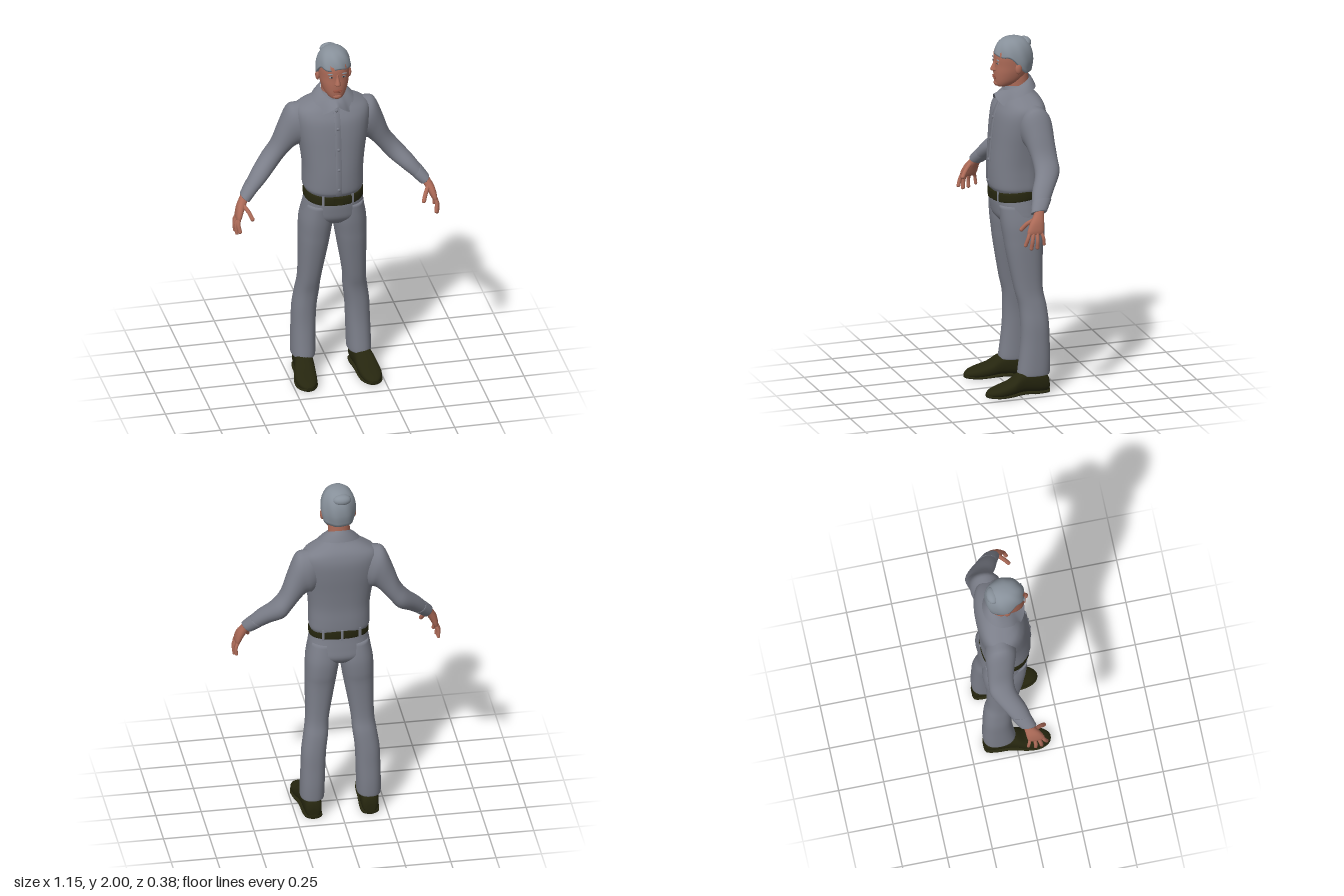
import * as THREE from 'three';
import { mergeGeometries } from 'three/addons/utils/BufferGeometryUtils.js';

const { sin, cos, abs, sign, pow, PI, exp, min, max } = Math;
const V = (x, y, z) => new THREE.Vector3(x, y, z);

// Catmull-Rom resampling of rows of numbers
function smooth(rows, steps = 4) {
  const out = [];
  for (let i = 0; i < rows.length - 1; i++) {
    const [a, b, c, d] = [rows[max(i - 1, 0)], rows[i], rows[i + 1], rows[min(i + 2, rows.length - 1)]];
    for (let s = 0; s < steps; s++) {
      const t = s / steps;
      out.push(b.map((v, k) => v + 0.5 * t * (c[k] - a[k] + t * (2 * a[k] - 5 * v + 4 * c[k] - d[k] + t * (3 * (v - c[k]) + d[k] - a[k])))));
    }
  }
  out.push(rows[rows.length - 1]);
  return out;
}

// Skin closed rings of points; optional end caps; outward winding is ensured
function loft(rings, caps = true) {
  const n = rings[0].length, pos = [], idx = [];
  rings.forEach(r => r.forEach(p => pos.push(p.x, p.y, p.z)));
  for (let i = 0; i < rings.length - 1; i++) for (let j = 0; j < n; j++) {
    const a = i * n + j, b = i * n + (j + 1) % n;
    idx.push(a, b, a + n, b, b + n, a + n);
  }
  if (caps) [0, rings.length - 1].forEach(i => {
    const m = rings[i].reduce((s, p) => s.add(p), V(0, 0, 0)).divideScalar(n), k = pos.length / 3;
    pos.push(m.x, m.y, m.z);
    for (let j = 0; j < n; j++) {
      const a = i * n + j, b = i * n + (j + 1) % n;
      i ? idx.push(a, b, k) : idx.push(b, a, k);
    }
  });
  const P = i => V(pos[3 * i], pos[3 * i + 1], pos[3 * i + 2]);
  let vol = 0;
  for (let i = 0; i < idx.length; i += 3) vol += P(idx[i]).dot(P(idx[i + 1]).cross(P(idx[i + 2])));
  if (vol < 0) idx.reverse();
  const g = new THREE.BufferGeometry();
  g.setAttribute('position', new THREE.Float32BufferAttribute(pos, 3));
  g.setIndex(idx);
  g.computeVertexNormals();
  return g;
}

// Superellipse ring built from a function of (cos, sin)
const ring = (f, n = 2, count = 32) => Array.from({ length: count }, (_, j) => {
  const t = j / count * 2 * PI, e = v => sign(v) * pow(abs(v), 2 / n);
  return f(e(cos(t)), e(sin(t)));
});

// Upright body part; rows are [y, xLeft, xRight, zFront, zBack]
const body = (rows, n = 2.2, bias = 0.45, tilt = 0) => loft(smooth(rows).map(([y, x0, x1, zf, zb]) => {
  const zc = zb + (zf - zb) * bias;
  return ring((c, s) => {
    const z = zc + s * (s > 0 ? zf - zc : zc - zb);
    return V((x0 + x1) / 2 + c * (x1 - x0) / 2, y - tilt * z, z);
  }, n);
}));
const sym = rows => rows.map(([y, rx, zf, zb]) => [y, -rx, rx, zf, zb]);

// Front surface depth of a symmetric part at (x, y)
function frontZ(rows, x, y, n, bias) {
  const i = max(1, rows.findIndex(r => r[0] >= y)), a = rows[i - 1], b = rows[i];
  const [, rx, zf, zb] = a.map((v, k) => v + (b[k] - v) * (y - a[0]) / (b[0] - a[0]));
  const zc = zb + (zf - zb) * bias;
  return zc + (zf - zc) * pow(max(0, 1 - pow(abs(x) / rx, n)), 1 / n);
}

function mirrored(g) {
  const m = g.clone().scale(-1, 1, 1), a = m.index.array;
  for (let i = 0; i < a.length; i += 3) [a[i], a[i + 1]] = [a[i + 1], a[i]];
  m.computeVertexNormals();
  return m;
}

const TORSO = [[1.13, .15, .09, -.15], [1.15, .16, .103, -.158], [1.17, .166, .11, -.162], [1.22, .166, .112, -.163],
  [1.3, .168, .11, -.162], [1.4, .181, .102, -.171], [1.5, .2, .092, -.183], [1.58, .21, .078, -.187],
  [1.63, .2, .055, -.178], [1.665, .15, .035, -.16], [1.7, .085, .02, -.125], [1.73, .06, .005, -.11]];
const HEAD = [[1.725, .024, .062, .01], [1.735, .042, .074, -.02], [1.765, .063, .08, -.07], [1.81, .078, .082, -.108],
  [1.85, .084, .08, -.126], [1.9, .087, .08, -.128], [1.94, .08, .068, -.118], [1.975, .055, .04, -.09]];
const WAIST = [[1.16, .152, .09, -.152], [1.1, .16, .096, -.157], [1.04, .17, .09, -.165], [.99, .172, .078, -.168],
  [.95, .13, .04, -.14], [.935, .08, .01, -.11]];
const LEG = [[1.07, .01, .16, .08, -.15], [.97, .0, .182, .073, -.168], [.88, .012, .187, .06, -.166], [.8, .025, .188, .048, -.156],
  [.6, .06, .188, .01, -.15], [.5, .068, .2, -.014, -.167], [.4, .08, .214, -.021, -.177], [.3, .085, .218, -.02, -.18],
  [.2, .088, .221, -.01, -.183], [.12, .09, .222, 0, -.18], [.108, .094, .218, -.005, -.176]];
// Sleeve rows: [xOuter, yOuter, xInner, yInner, zCentre, zRadius]
const SLEEVE = [[.11, 1.655, .1, 1.45, -.085, .06], [.19, 1.648, .15, 1.405, -.088, .085], [.243, 1.63, .185, 1.4, -.092, .085],
  [.29, 1.52, .215, 1.38, -.1, .076], [.328, 1.415, .265, 1.323, -.108, .07], [.378, 1.345, .31, 1.265, -.103, .07],
  [.45, 1.265, .375, 1.213, -.055, .062], [.505, 1.19, .45, 1.152, -.015, .046], [.52, 1.17, .47, 1.133, -.003, .042]];
const CUFF = [[.484, 1.222, .422, 1.178, -.034, .05], [.489, 1.217, .426, 1.172, -.03, .054],
  [.523, 1.172, .471, 1.13, -.002, .046], [.523, 1.165, .476, 1.128, .001, .042]];
// Shoe rows: [z, xCentre, halfWidth, yBottom, yTop]
const SHOE = [[-.177, .156, .022, .012, .06], [-.165, .156, .042, .006, .1], [-.12, .158, .05, .004, .128], [-.05, .162, .052, .012, .135],
  [0, .168, .055, .014, .122], [.05, .175, .06, .01, .088], [.11, .18, .059, .007, .068], [.155, .181, .046, .01, .054],
  [.18, .181, .027, .014, .04], [.189, .181, .008, .02, .03]];

export function createModel() {
  const model = new THREE.Group();
  const mat = (name, color, side = THREE.FrontSide) => {
    const m = new THREE.MeshStandardMaterial({ color, side });
    m.name = name;
    return m;
  };
  const cloth = mat('grey cloth', 0x7b7e89, THREE.DoubleSide), skin = mat('skin', 0xad6b58), hairMat = mat('grey hair', 0x87909a),
    leather = mat('dark leather', 0x26260f), lipMat = mat('lips', 0x94503f), eyeMat = mat('eyes', 0x8d9298), irisMat = mat('iris', 0x2b3238);
  const add = (name, g, m) => {
    const mesh = new THREE.Mesh(g, m);
    mesh.name = name;
    model.add(mesh);
    return mesh;
  };
  const pair = (name, g, m) => { add('left' + name, g, m); add('right' + name, mirrored(g), m); };
  const ball = (x, y, z, a, b, c) => new THREE.SphereGeometry(1, 20, 14).scale(a, b, c).translate(x, y, z);

  // Shirt
  add('shirt', body(sym(TORSO), 2.4, .38), cloth);
  const sleeve = rows => loft(smooth(rows).map(([xo, yo, xi, yi, z, r]) =>
    ring((c, s) => V((xo + xi) / 2 + c * (xo - xi) / 2, (yo + yi) / 2 + c * (yo - yi) / 2, z + s * r), 2.1, 28)));
  pair('Sleeve', sleeve(SLEEVE), cloth);
  pair('Cuff', sleeve(CUFF), cloth);
  const strip = [];
  for (let y = 1.15; y <= 1.69; y += .03) {
    const z = frontZ(TORSO, 0, y, 2.4, .38);
    strip.push([V(-.016, y, z - .01), V(-.016, y, z + .004), V(.016, y, z + .004), V(.016, y, z - .01)]);
  }
  add('buttonPlacket', loft(strip), cloth);
  for (const y of [1.19, 1.31, 1.43, 1.55, 1.645])
    add('button', ball(0, y, frontZ(TORSO, 0, y, 2.4, .38) + .005, .009, .009, .005), cloth);

  // Folded collar with two front points
  const collarRing = v => Array.from({ length: 72 }, (_, j) => {
    const a = (j + .5) / 72 * 2 * PI - PI, q = abs(a), top = 1.775 - .0375 * (1 + cos(a));
    const drop = q < .7 ? .015 + .065 * q / .7 : .045 + .035 * exp(-pow((q - .7) / .35, 2)) + .012 * max(0, -cos(a));
    const k = pow(v, .8), rx = .064 + .05 * k, rz = cos(a) > 0 ? .08 + .052 * k : .07 + .03 * k;
    return V(rx * sin(a), top - drop * v, -.05 + rz * cos(a));
  });
  add('collar', loft([0, .25, .5, .75, 1].map(collarRing), false), cloth);

  // Trousers
  add('trouserSeat', body(sym(WAIST), 2.3), cloth);
  pair('TrouserLeg', body(LEG, 2.3), cloth);

  // Belt, buckle and loops
  const belt = [[1.1, .152, .09, -.152], [1.1, .164, .102, -.162], [1.146, .162, .102, -.162], [1.146, .15, .09, -.15]];
  add('belt', body(sym(belt), 2.3, .45, .1), leather);
  add('buckle', new THREE.BoxGeometry(.045, .042, .01).translate(0, 1.113, .104), leather);
  for (const [x, z] of [[.08, .084], [-.08, .084], [.1, -.145], [-.1, -.145], [0, -.163]])
    add('beltLoop', new THREE.BoxGeometry(.013, .062, .014).rotateY(z > 0 ? x * 5 : -x * 4).translate(x, 1.123 - .1 * z, z), cloth);

  // Shoes and soles
  const shoe = (grow, yRange) => loft(smooth(SHOE).map(([z, xc, w, y0, y1]) => {
    const [b, t] = yRange(y0, y1, z);
    return ring((c, s) => V(xc + c * (w + grow), b + (t - b) * (s + 1) / 2, z * (1 + grow * 2)), 2.5, 24);
  }));
  pair('Shoe', shoe(0, (a, b) => [a, b]), leather);
  pair('Sole', shoe(.003, (a, b, z) => [z < -.07 ? 0 : a * .5, a + .014]), leather);

  // Hands
  const palm = [[.49, 1.17, -.01, .022, .027], [.508, 1.14, .004, .021, .029], [.53, 1.1, .022, .02, .04],
    [.544, 1.06, .034, .016, .047], [.549, 1.04, .038, .011, .043]];
  pair('Palm', loft(smooth(palm).map(([x, y, z, rx, rz]) => ring((c, s) => V(x + c * rx, y + c * rx * .5, z + s * rz), 2.3, 24))), skin);
  const finger = (pts, r) => {
    const curve = new THREE.CatmullRomCurve3(pts.map(p => V(...p))), e = curve.getPoint(1);
    return mergeGeometries([new THREE.TubeGeometry(curve, 10, r, 10), ball(e.x, e.y, e.z, r, r, r)]);
  };
  pair('Fingers', mergeGeometries([
    finger([[.54, 1.07, .062], [.553, 1.025, .08], [.547, .985, .093]], .0105),
    finger([[.545, 1.06, .046], [.562, 1.01, .058], [.558, .967, .063]], .011),
    finger([[.545, 1.06, .026], [.565, 1.01, .03], [.562, .97, .03]], .0105),
    finger([[.54, 1.06, .005], [.558, 1.02, -.006], [.557, .985, -.01]], .009),
    finger([[.515, 1.115, .035], [.492, 1.085, .07], [.478, 1.055, .092]], .0115)]), skin);

  // Head and neck
  add('neck', body([[1.63, -.066, .066, .005, -.125], [1.72, -.06, .06, .01, -.115], [1.82, -.06, .06, .02, -.11]], 2), skin);
  add('head', body(sym(HEAD), 2.2), skin);
  pair('Ear', ball(.088, 1.838, -.03, .012, .03, .019).rotateX(0), skin);
  const faceZ = (x, y) => frontZ(HEAD, x, y, 2.2, .45);
  const nose = [[1.882, .008, .083, .06], [1.86, .009, .088, .06], [1.835, .014, .1, .06], [1.822, .018, .102, .06], [1.814, .014, .088, .06]];
  add('nose', body(sym(nose), 2), skin);
  add('upperLip', ball(0, 1.785, faceZ(0, 1.785), .027, .005, .006), lipMat);
  add('lowerLip', ball(0, 1.776, faceZ(0, 1.776), .023, .006, .006), lipMat);
  add('chin', ball(0, 1.745, .064, .026, .018, .018), skin);
  pair('Eye', ball(.033, 1.864, faceZ(.033, 1.864) - .001, .014, .006, .004), eyeMat);
  pair('Iris', ball(.033, 1.864, faceZ(.033, 1.864) + .002, .005, .005, .002), irisMat);
  pair('Eyebrow', ball(.035, 1.883, faceZ(.035, 1.883), .02, .004, .005), hairMat);

  // Swept hair: dome with a varying hairline and soft combed ridges
  const hairRing = v => Array.from({ length: 64 }, (_, j) => {
    const a = j / 64 * 2 * PI - PI, q = abs(a), m = THREE.MathUtils.smoothstep(q, .95, 2.15);
    const yb = 1.905 - .1 * m + .006 * sin(a * 5 + 1) * (1 - m), y = yb + (2 - yb) * sin(v * PI / 2);
    const k = max(0, (y - 1.86) / .14), low = 1 - 1.6 * max(0, 1.86 - y);
    const r = pow(max(0, 1 - pow(k, 2.5)), 1 / 2.5) * low * (1 + .022 * sin(a * 7 + v * 5) * cos(v * PI / 2));
    return V(.096 * r * sin(a), y, -.028 + (cos(a) > 0 ? .112 : .11) * r * cos(a));
  });
  add('hair', loft(Array.from({ length: 19 }, (_, i) => hairRing(i / 18))), hairMat);
  add('hairCrown', ball(-.01, 1.957, -.098, .05, .03, .034), hairMat);
  return model;
}
